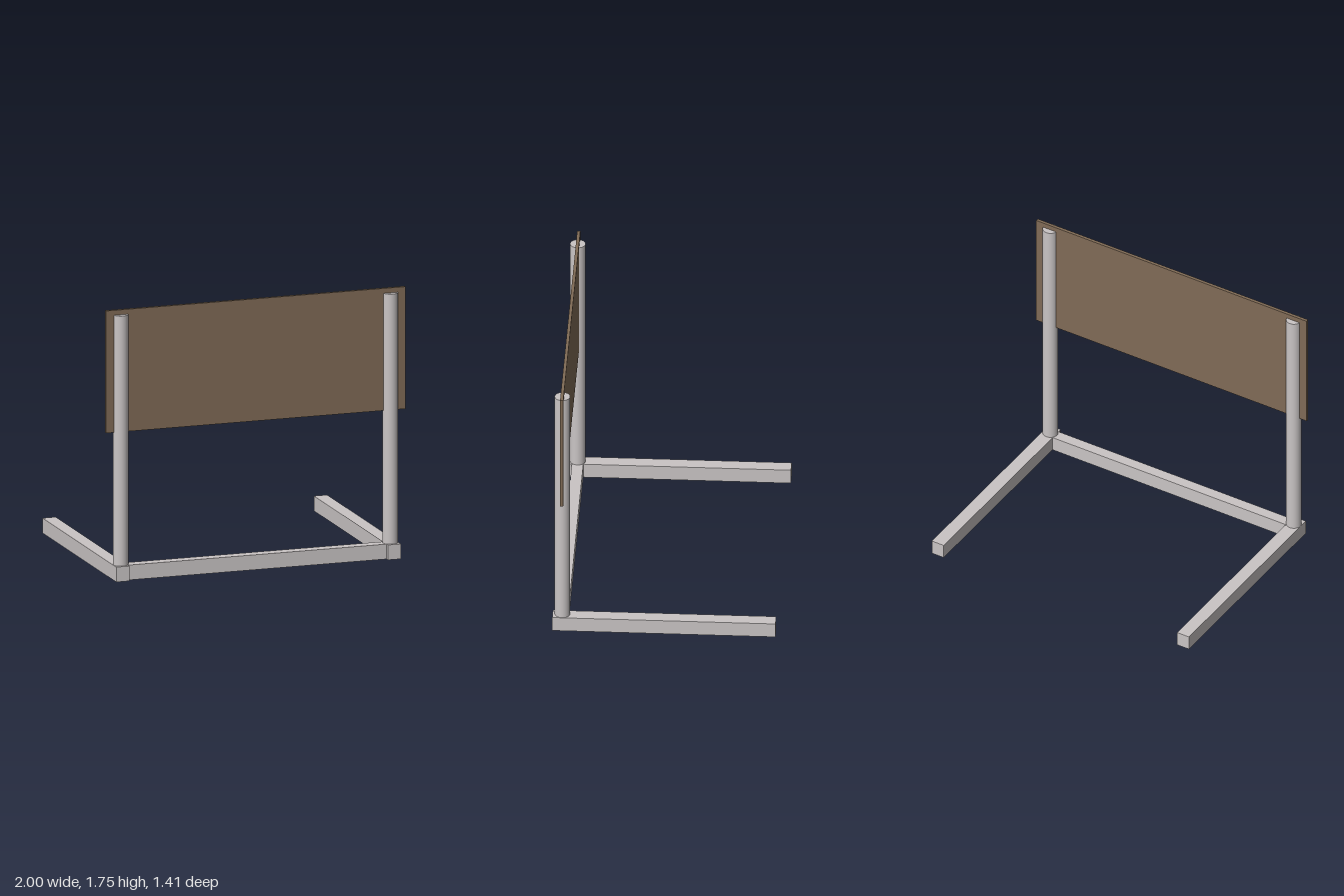
import * as THREE from 'three';

export function createModel() {
  const group = new THREE.Group();
  const metal = new THREE.MeshStandardMaterial({ name: 'light grey metal', color: 0xcac5c5 });
  const wood = new THREE.MeshStandardMaterial({ name: 'brown board', color: 0x806b56 });
  const postZ = 0.643, barHeight = 0.097;

  function add(name, geometry, material, x, y, z) {
    const mesh = new THREE.Mesh(geometry, material);
    mesh.name = name;
    mesh.position.set(x, y, z);
    group.add(mesh);
  }

  // Mirrored floor rails and round uprights
  for (const [side, s] of [['left', 1], ['right', -1]]) {
    add(side + 'FloorRail', new THREE.BoxGeometry(0.088, barHeight, 1.41),
      metal, s * 0.907, barHeight / 2, 0);
    const postHeight = 1.718 - barHeight;
    add(side + 'Post', new THREE.CylinderGeometry(0.049, 0.049, postHeight, 32),
      metal, s * 0.901, barHeight + postHeight / 2, postZ);
  }

  // Cross bar joining the rails
  add('crossBar', new THREE.BoxGeometry(1.726, barHeight, 0.072), metal, 0, barHeight / 2, postZ);

  // Sign board running through both posts
  add('board', new THREE.BoxGeometry(2, 0.792, 0.02), wood, 0, 1.354, postZ);

  return group;
}
